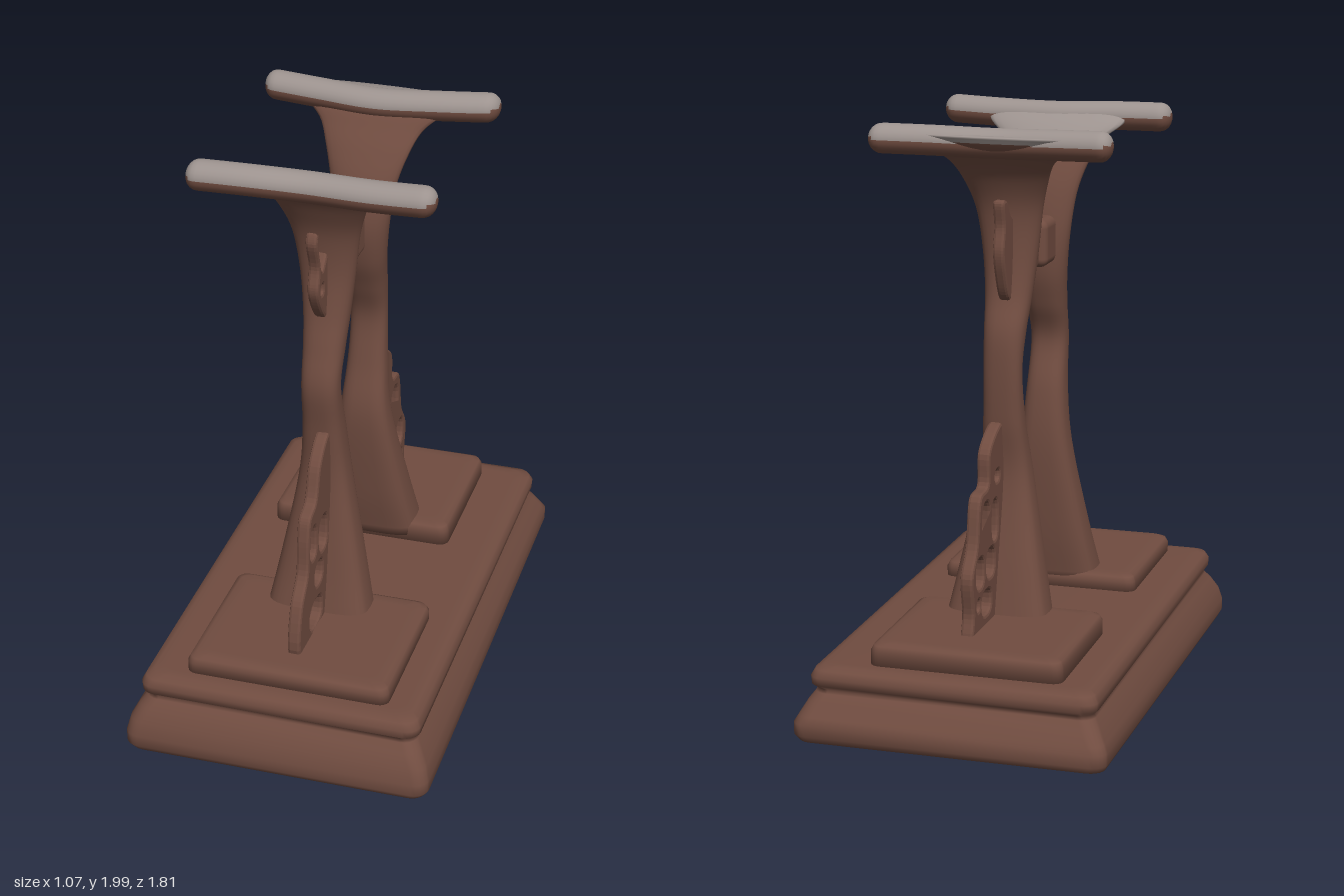
import * as THREE from 'three';
import { RoundedBoxGeometry } from 'three/addons/geometries/RoundedBoxGeometry.js';

const brown = new THREE.MeshStandardMaterial({ color: 0x704c40 });
brown.name = 'brown';
const grey = new THREE.MeshStandardMaterial({ color: 0x9d938f });
grey.name = 'pale grey';

// Closed skin over a list of rings; triangles passing isGrey(centre, normal) go to the grey group
function loft(rings, isGrey = () => false) {
  const n = rings[0].length;
  const pts = rings.flat();
  const mean = (ring) => ring.reduce((s, p) => s.add(p), new THREE.Vector3()).divideScalar(n);
  pts.push(mean(rings[0]), mean(rings[rings.length - 1]));
  const first = pts.length - 2, last = pts.length - 1, top = (rings.length - 1) * n;
  const tris = [];
  for (let i = 0; i < n; i++) {
    const j = (i + 1) % n;
    for (let r = 0; r < rings.length - 1; r++) {
      const a = r * n + i, b = r * n + j;
      tris.push([a, b, b + n], [a, b + n, a + n]);
    }
    tris.push([first, j, i], [last, top + i, top + j]);
  }
  // Turn the skin outward if its signed volume is negative
  const volume = tris.reduce((v, [a, b, c]) => v + pts[a].dot(pts[b].clone().cross(pts[c])), 0);
  if (volume < 0) tris.forEach((t) => t.reverse());
  const sets = [[], []];
  for (const t of tris) {
    const [a, b, c] = t.map((k) => pts[k]);
    const normal = b.clone().sub(a).cross(c.clone().sub(a)).normalize();
    const centre = a.clone().add(b).add(c).divideScalar(3);
    sets[isGrey(centre, normal) ? 1 : 0].push(...t);
  }
  const geo = new THREE.BufferGeometry().setFromPoints(pts);
  geo.setIndex([...sets[0], ...sets[1]]);
  geo.addGroup(0, sets[0].length, 0);
  geo.addGroup(sets[0].length, sets[1].length, 1);
  geo.computeVertexNormals();
  return geo;
}

// Rounded rectangle ring, slightly skewed, at height y
function rectRing(cx, cz, hx, hz, y, r, slope = 0) {
  const ring = [];
  for (const [sx, sz, start] of [[1, 1, 0], [-1, 1, 1], [-1, -1, 2], [1, -1, 3]]) {
    for (let k = 0; k <= 5; k++) {
      const a = (start + k / 5) * Math.PI / 2;
      const x = cx + sx * (hx - r) + r * Math.cos(a);
      const z = cz + sz * (hz - r) + r * Math.sin(a);
      ring.push(new THREE.Vector3(x + 0.012 * z, y - slope * z, z - 0.015 * x));
    }
  }
  return ring;
}

const power = (v, e) => Math.sign(v) * Math.abs(v) ** e;

// Leaning post from keys [y, inner z, outer z, half width]
function post(keys, isGrey) {
  const inner = new THREE.CatmullRomCurve3(keys.map(([y, a, , h]) => new THREE.Vector3(a, y, h)), false, 'catmullrom');
  const outer = new THREE.CatmullRomCurve3(keys.map(([y, , b, h]) => new THREE.Vector3(b, y, h)), false, 'catmullrom');
  const rings = [];
  for (let s = 0; s <= 72; s++) {
    const t = s / 72, p = inner.getPoint(t), q = outer.getPoint(t);
    const e = 0.55 + 0.4 * Math.min(1, t * 1.6);
    const ring = [];
    for (let k = 0; k < 28; k++) {
      const a = (k / 28) * Math.PI * 2;
      ring.push(new THREE.Vector3(
        -0.005 + p.z * power(Math.cos(a), e), p.y,
        (p.x + q.x) / 2 + (q.x - p.x) / 2 * power(Math.sin(a), e)));
    }
    rings.push(ring);
  }
  return loft(rings, isGrey);
}

// Round-ended bar along x, through path points
function bar(points) {
  const curve = new THREE.CatmullRomCurve3(points.map((p) => new THREE.Vector3(...p)));
  const rings = [];
  for (let s = 0; s <= 40; s++) {
    const t = (1 - Math.cos((s / 40) * Math.PI)) / 2;
    const c = curve.getPoint(t);
    const end = Math.min(1, Math.min(t, 1 - t) / 0.05);
    const size = 0.1 + 0.9 * Math.sqrt(1 - (1 - end) ** 2);
    const ring = [];
    for (let k = 0; k < 24; k++) {
      const a = (k / 24) * Math.PI * 2;
      ring.push(new THREE.Vector3(c.x, c.y + 0.05 * size * Math.sin(a), c.z + 0.056 * size * Math.cos(a)));
    }
    rings.push(ring);
  }
  return loft(rings, (c, n) => n.y > 0.12);
}

// Thin pierced fin drawn as [z, y] points, with elliptical holes [z, y, rz, ry]
function fin(points, holes, x, thick) {
  const outline = new THREE.CatmullRomCurve3(points.map(([z, y]) => new THREE.Vector3(z, y, 0)), true, 'centripetal');
  const shape = new THREE.Shape(outline.getPoints(70).slice(0, -1).map((p) => new THREE.Vector2(p.x, p.y)));
  for (const [z, y, rz, ry] of holes) {
    const hole = [];
    for (let k = 0; k < 20; k++) {
      const a = (k / 20) * Math.PI * 2;
      hole.push(new THREE.Vector2(z + rz * power(Math.cos(a), 0.75), y + ry * power(Math.sin(a), 0.75)));
    }
    shape.holes.push(new THREE.Path(hole));
  }
  const bevel = 0.01;
  const geo = new THREE.ExtrudeGeometry(shape, {
    depth: thick - 2 * bevel, bevelEnabled: true, bevelThickness: bevel,
    bevelSize: bevel, bevelOffset: -bevel, bevelSegments: 2,
  });
  geo.translate(0, 0, bevel - thick / 2).rotateY(-Math.PI / 2).translate(x, 0, 0);
  return geo;
}

export function createModel() {
  const model = new THREE.Group();
  const add = (name, geo, material = brown) => {
    const mesh = new THREE.Mesh(geo, material);
    mesh.name = name;
    model.add(mesh);
    return mesh;
  };

  // Stepped base: [half width, half length, height]
  const steps = [
    [0.47, 0.85, 0.022], [0.515, 0.885, 0.022], [0.527, 0.9, 0.045], [0.527, 0.9, 0.085], [0.515, 0.885, 0.12],
    [0.49, 0.86, 0.165], [0.472, 0.835, 0.19], [0.468, 0.83, 0.203], [0.482, 0.848, 0.218],
    [0.484, 0.85, 0.245], [0.472, 0.838, 0.268], [0.45, 0.81, 0.277], [0.42, 0.78, 0.278],
  ];
  add('steppedBase', loft(steps.map(([hx, hz, y]) => rectRing(0, 0, hx, hz, y, 0.05, y < 0.1 ? 0.02 : 0.005))), [brown, grey]);

  // Raised pad under each post
  const pad = (name, cx, cz, hx, hz, y) => add(name, loft([
    [0, 0.26], [0, y - 0.025], [0.008, y - 0.008], [0.025, y], [0.06, y],
  ].map(([d, h]) => rectRing(cx, cz, hx - d, hz - d, h, 0.035))), [brown, grey]);
  pad('frontPad', 0.01, 0.495, 0.35, 0.28, 0.335);
  pad('backPad', -0.025, -0.495, 0.325, 0.275, 0.355);

  // Curved posts
  add('frontPost', post([
    [0.3, 0.22, 0.4, 0.185], [0.5, 0.195, 0.36, 0.145], [0.8, 0.18, 0.32, 0.09], [1.0, 0.2, 0.33, 0.07],
    [1.17, 0.245, 0.35, 0.065], [1.3, 0.2, 0.32, 0.07], [1.42, 0.168, 0.287, 0.08], [1.56, 0.165, 0.268, 0.095],
    [1.7, 0.19, 0.28, 0.115], [1.8, 0.23, 0.32, 0.145], [1.87, 0.275, 0.365, 0.18], [1.92, 0.32, 0.42, 0.24],
    [1.965, 0.38, 0.45, 0.26],
  ], (c, n) => c.y > 1.87 && (n.z < 0.1 || n.y > 0.3)), [brown, grey]);
  add('backPost', post([
    [0.3, -0.205, -0.385, 0.185], [0.5, -0.17, -0.34, 0.145], [0.8, -0.145, -0.275, 0.09], [1.0, -0.185, -0.29, 0.07],
    [1.17, -0.21, -0.295, 0.065], [1.3, -0.17, -0.285, 0.07], [1.42, -0.125, -0.243, 0.08], [1.56, -0.105, -0.222, 0.095],
    [1.7, -0.13, -0.222, 0.115], [1.8, -0.18, -0.255, 0.145], [1.87, -0.23, -0.305, 0.18], [1.92, -0.27, -0.36, 0.24],
    [1.965, -0.33, -0.39, 0.26],
  ], (c) => c.y > 1.945), [brown, grey]);

  // Crossbars
  add('frontCrossbar', bar([[-0.4, 1.94, 0.435], [-0.2, 1.94, 0.425], [0, 1.935, 0.41], [0.2, 1.937, 0.42], [0.415, 1.945, 0.425]]), [brown, grey]);
  add('backCrossbar', bar([[-0.4, 1.945, -0.34], [-0.2, 1.94, -0.32], [0, 1.935, -0.305], [0.2, 1.94, -0.325], [0.415, 1.945, -0.36]]), [brown, grey]);

  // Knobs facing each other
  const knob = (name, z0, z1, y) => {
    const mesh = add(name, new RoundedBoxGeometry(0.08, 0.165, z1 - z0, 4, 0.03));
    mesh.position.set(-0.02, y, (z0 + z1) / 2);
  };
  knob('frontKnob', 0.06, 0.22, 1.54);
  knob('backKnob', -0.17, -0.005, 1.55);

  // Pierced fins bracing the posts
  add('frontLowerFin', fin(
    [[0.28, 0.31], [0.27, 0.65], [0.28, 0.98], [0.33, 1.01], [0.42, 0.94], [0.47, 0.82], [0.53, 0.79], [0.55, 0.72],
      [0.565, 0.59], [0.63, 0.5], [0.645, 0.31]],
    [[0.5, 0.68, 0.036, 0.062], [0.395, 0.66, 0.045, 0.065], [0.445, 0.53, 0.043, 0.044], [0.48, 0.39, 0.066, 0.052]],
    0.01, 0.045));
  add('backLowerFin', fin(
    [[-0.28, 0.31], [-0.23, 0.65], [-0.24, 0.98], [-0.29, 1.0], [-0.415, 0.93], [-0.43, 0.82], [-0.51, 0.8], [-0.55, 0.64],
      [-0.605, 0.55], [-0.59, 0.42], [-0.6, 0.33]],
    [[-0.455, 0.7, 0.042, 0.07], [-0.362, 0.685, 0.032, 0.07], [-0.52, 0.545, 0.042, 0.052], [-0.41, 0.55, 0.045, 0.05],
      [-0.455, 0.425, 0.05, 0.042], [-0.54, 0.44, 0.016, 0.02], [-0.335, 0.83, 0.024, 0.02]],
    0.01, 0.045));
  add('frontUpperFin', fin(
    [[0.24, 1.4], [0.29, 1.42], [0.355, 1.51], [0.365, 1.55], [0.35, 1.62], [0.38, 1.72], [0.365, 1.755], [0.345, 1.67],
      [0.315, 1.6], [0.29, 1.62], [0.25, 1.66]],
    [[0.32, 1.535, 0.015, 0.018]], -0.01, 0.04));
  add('backUpperFin', fin(
    [[-0.19, 1.4], [-0.25, 1.41], [-0.3, 1.5], [-0.32, 1.58], [-0.305, 1.66], [-0.315, 1.745], [-0.275, 1.745], [-0.24, 1.7],
      [-0.19, 1.66]],
    [], -0.01, 0.04));

  return model;
}
